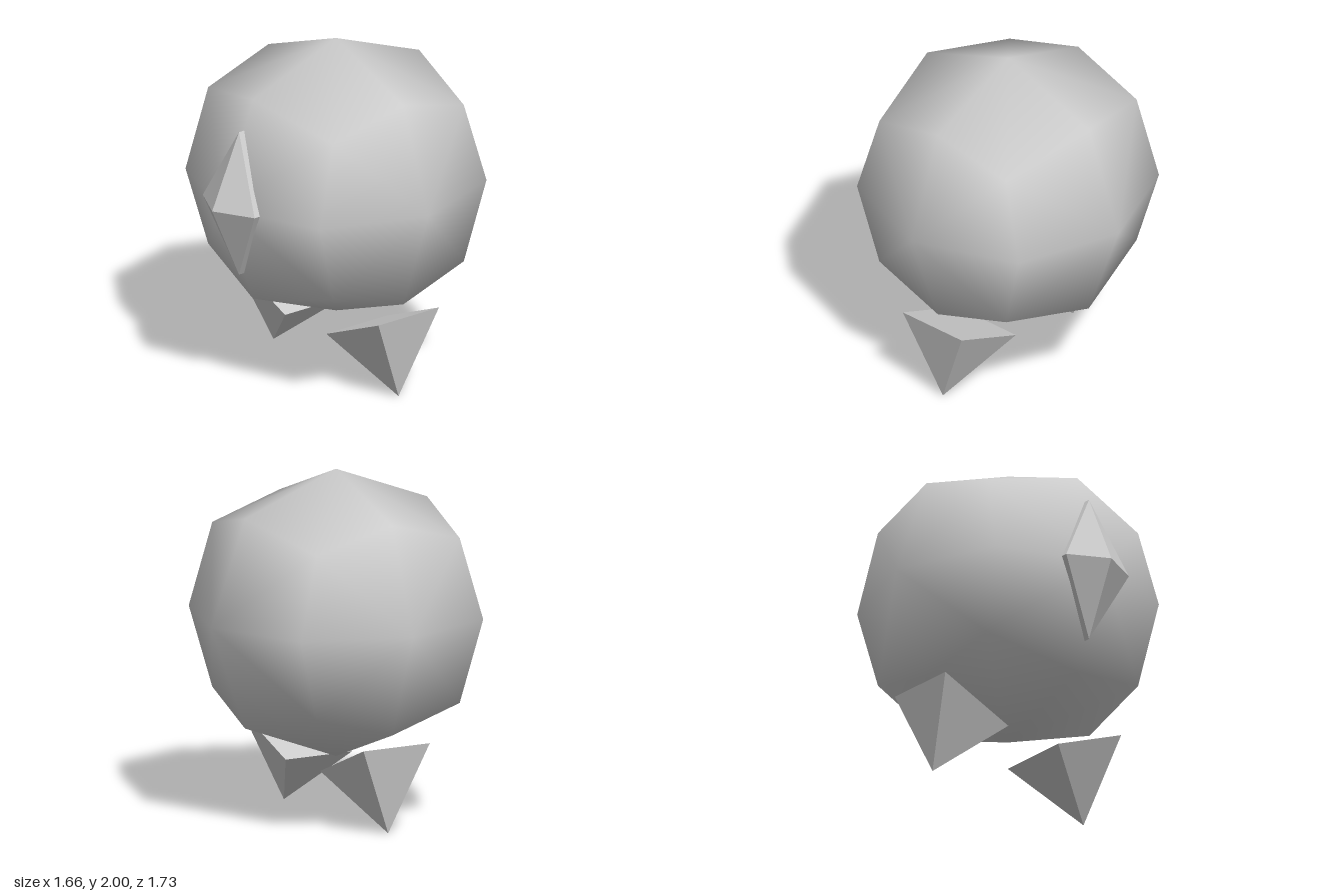
import * as THREE from 'three';
import { ConvexGeometry } from 'three/addons/geometries/ConvexGeometry.js';
import { mergeVertices } from 'three/addons/utils/BufferGeometryUtils.js';

const CENTRE = new THREE.Vector3(0, 1.175, -0.035);

// Flat-faced solid around a few corner points
function solid(name, points, material) {
  const geometry = new ConvexGeometry(points.map((p) => new THREE.Vector3(...p)));
  const mesh = new THREE.Mesh(geometry, material);
  mesh.name = name;
  return mesh;
}

// Rounded cube with 26 points: face centres, edge middles and corners
function createBody(material) {
  const points = [];
  for (const x of [-1, 0, 1]) for (const y of [-1, 0, 1]) for (const z of [-1, 0, 1]) {
    const kind = Math.abs(x) + Math.abs(y) + Math.abs(z);
    if (kind === 0) continue;
    const size = [0, 0.828, 0.604, 0.475][kind];
    const sizeX = kind === 3 ? 0.56 : size;
    points.push([x * sizeX, y * size, z * size]);
  }
  const body = solid('body', points, material);

  // Share the points so the shading is smooth
  body.geometry.deleteAttribute('normal');
  body.geometry = mergeVertices(body.geometry, 1e-4);
  body.geometry.computeVertexNormals();
  body.position.copy(CENTRE);
  return body;
}

export function createModel() {
  const model = new THREE.Group();
  model.name = 'roundCreature';
  const smooth = new THREE.MeshStandardMaterial({ color: 0xcccccc });
  const flat = new THREE.MeshStandardMaterial({ color: 0xcccccc, flatShading: true });

  model.add(createBody(smooth));

  // Pointed diamond nose, sunk into the front of the body
  const rim = [[0, 1.608, 0.67], [0.232, 1.175, 0.745], [0, 0.742, 0.67], [-0.232, 1.175, 0.745]];
  const sunk = rim.map(([x, y]) => [x, y, 0.45]);
  model.add(solid('nose', [[0, 1.175, 0.865], ...rim, ...sunk], flat));

  // Pyramid feet standing on their points
  for (const [name, side] of [['leftFoot', 1], ['rightFoot', -1]]) {
    const points = [[side * 0.56, 0, CENTRE.z]];
    for (const z of [-0.22, 0.22]) {
      points.push([side * 0.652, 0.512, CENTRE.z + z], [side * 0.185, 0.317, CENTRE.z + z]);
    }
    model.add(solid(name, points, flat));
  }

  return model;
}
